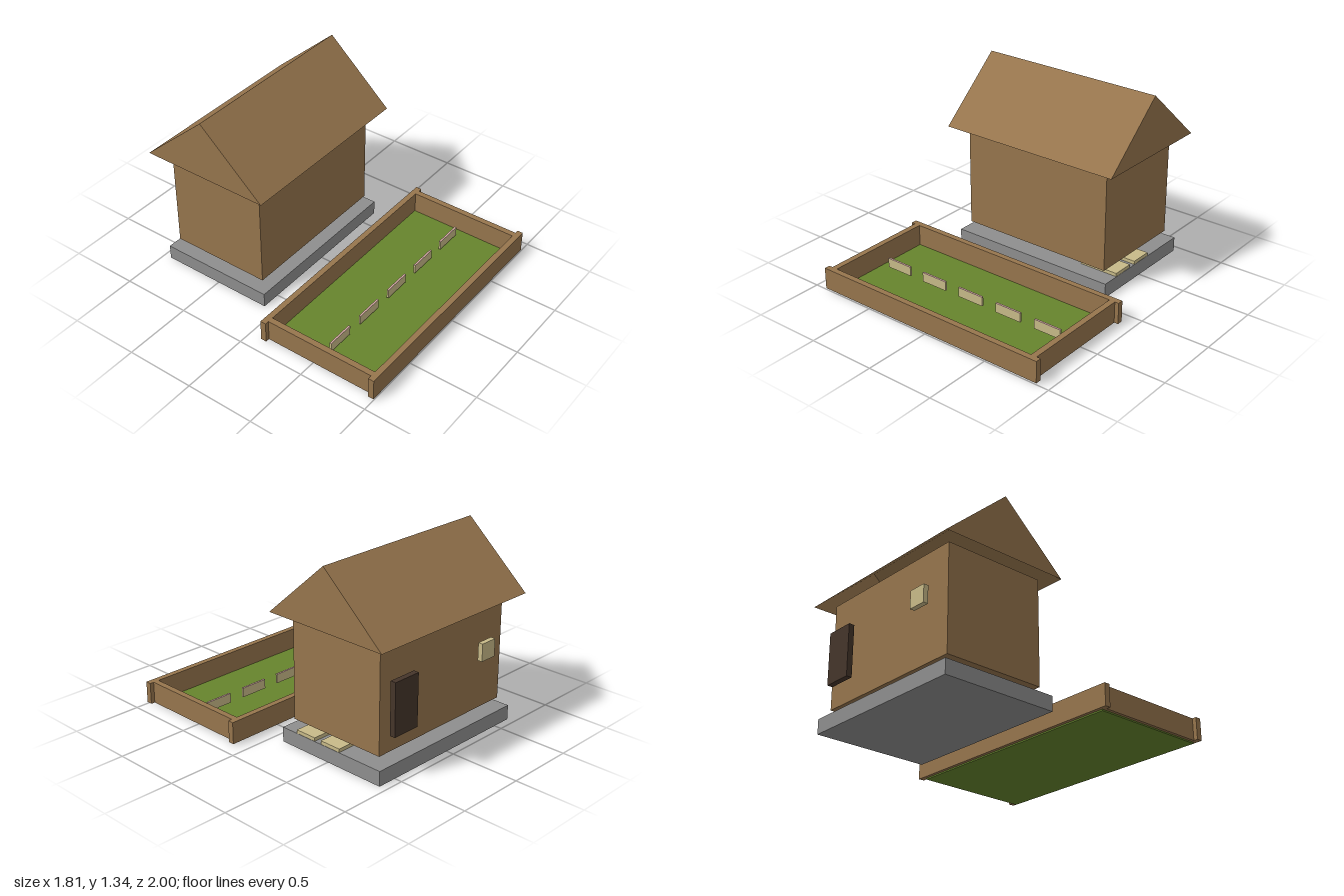
import * as THREE from 'three';

const material = (name, color, side = THREE.FrontSide) => {
  const m = new THREE.MeshStandardMaterial({ color, side });
  m.name = name;
  return m;
};

export function createModel() {
  const wood = material('wood', 0x96754d);
  const roofWood = material('roofWood', 0x96754d, THREE.DoubleSide);
  const darkWood = material('darkWood', 0x45352a);
  const stone = material('stone', 0x8e8e8e);
  const grass = material('grass', 0x66842d);
  const tan = material('tan', 0xc8ba88);
  const pink = material('pink', 0xd0a8a0);

  const model = new THREE.Group();
  model.name = 'houseAndGarden';

  // Box given by its limits on each axis
  const box = (parent, name, mat, [x0, x1], [y0, y1], [z0, z1]) => {
    const mesh = new THREE.Mesh(new THREE.BoxGeometry(x1 - x0, y1 - y0, z1 - z0), mat);
    mesh.position.set((x0 + x1) / 2, (y0 + y1) / 2, (z0 + z1) / 2);
    mesh.name = name;
    parent.add(mesh);
  };

  // House: foundation, walls, door and window
  const house = new THREE.Group();
  house.name = 'house';
  model.add(house);
  box(house, 'foundation', stone, [-0.64, 0.64], [0, 0.105], [-0.945, -0.09]);
  box(house, 'walls', wood, [-0.587, 0.587], [0.165, 0.915], [-0.89, -0.145]);
  box(house, 'door', darkWood, [0.32, 0.53], [0.3, 0.67], [-0.965, -0.925]);
  box(house, 'window', tan, [-0.44, -0.31], [0.535, 0.66], [-0.96, -0.925]);

  // Two steps set into the foundation
  for (const z of [-0.3, -0.517]) {
    box(house, 'step', tan, [0.345, 0.638], [0.003, 0.13], [z - 0.081, z + 0.081]);
  }

  // Gable roof shell, open underneath
  const w = 0.693, eave = 0.915, ridge = 1.34, front = -0.04, mid = -0.519, back = -0.998;
  const [fl, fr] = [[-w, eave, front], [w, eave, front]];
  const [rl, rr] = [[-w, ridge, mid], [w, ridge, mid]];
  const [bl, br] = [[-w, eave, back], [w, eave, back]];
  const faces = [fl, fr, rr, fl, rr, rl, br, bl, rl, br, rl, rr, fr, br, rr, bl, fl, rl];
  const roofGeometry = new THREE.BufferGeometry();
  roofGeometry.setAttribute('position', new THREE.Float32BufferAttribute(faces.flat(), 3));
  roofGeometry.computeVertexNormals();
  const roof = new THREE.Mesh(roofGeometry, roofWood);
  roof.name = 'roof';
  house.add(roof);

  // Garden bed with a board frame
  const garden = new THREE.Group();
  garden.name = 'garden';
  model.add(garden);
  box(garden, 'lawn', grass, [-0.855, 0.855], [0, 0.01], [0.125, 0.98]);
  for (const z of [0.1, 0.958]) {
    box(garden, 'longBoard', wood, [-0.907, 0.907], [0.01, 0.165], [z, z + 0.042]);
  }
  for (const x of [-0.877, 0.834]) {
    box(garden, 'endBoard', wood, [x, x + 0.043], [0.01, 0.165], [0.142, 0.958]);
  }

  // Row of planting markers with thin caps
  for (let i = -2; i <= 2; i++) {
    const span = [i * 0.322 - 0.103, i * 0.322 + 0.103];
    box(garden, 'marker', tan, span, [0.035, 0.1], [0.54, 0.554]);
    box(garden, 'markerCap', pink, span, [0.1, 0.104], [0.54, 0.554]);
  }

  return model;
}
